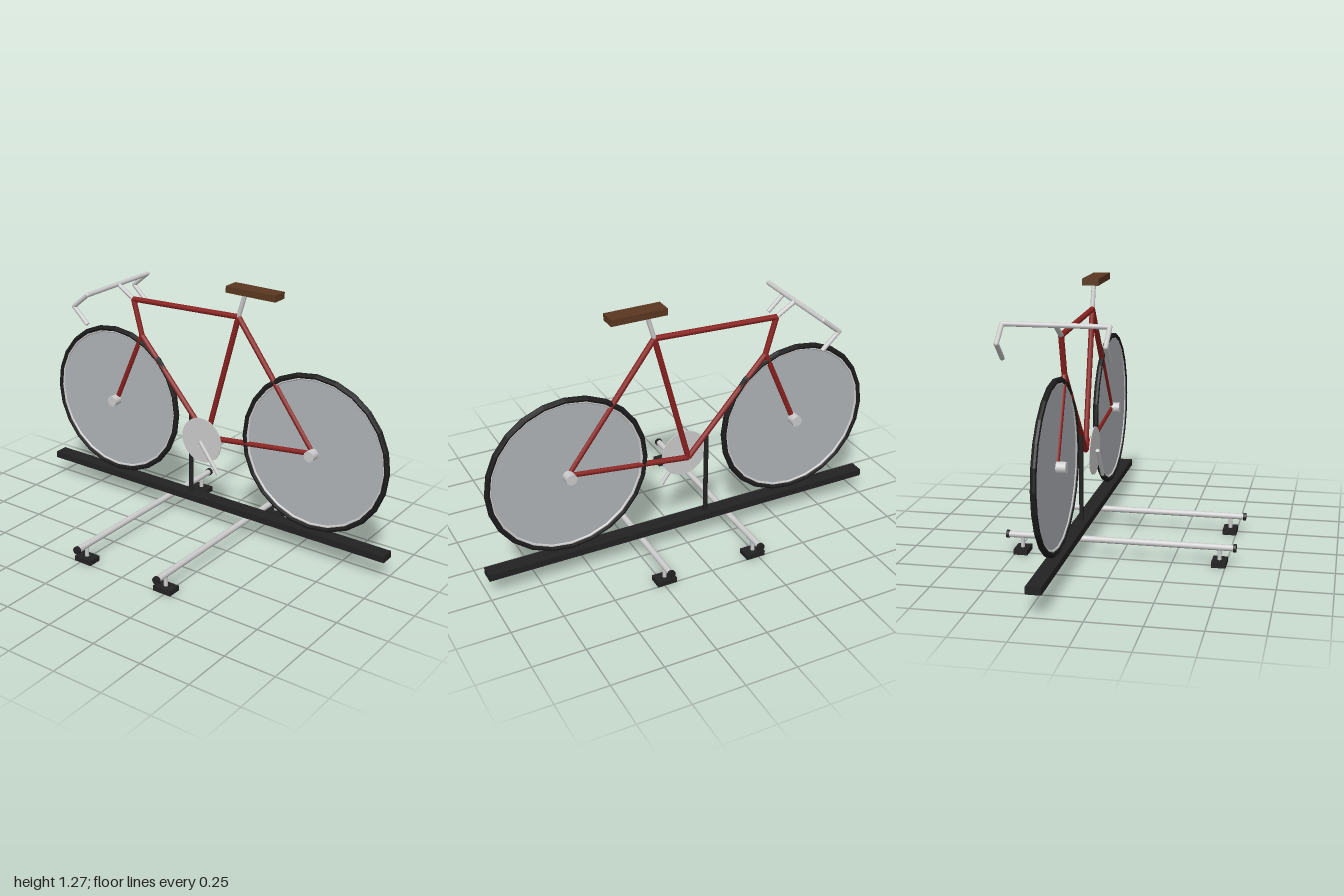
import * as THREE from 'three';

const mat = (color, extra = {}) => new THREE.MeshStandardMaterial({ color, ...extra });
const BIKE_X = 0.21; // the bike and its rail sit off centre on the rack

export function createModel() {
  const model = new THREE.Group();
  model.name = 'bicycleOnRack';
  const metal = mat(0xcccccc), black = mat(0x222222), tyreMat = mat(0x1c1c1c, { flatShading: true });
  const red = mat(0x8b2220), brown = mat(0x5a3820), spokeGrey = mat(0xb0b4b8);
  const v = (x, y, z) => new THREE.Vector3(x, y, z);

  function add(parent, name, geometry, material, x = 0, y = 0, z = 0) {
    const mesh = new THREE.Mesh(geometry, material);
    mesh.name = name;
    mesh.position.set(x, y, z);
    parent.add(mesh);
    return mesh;
  }

  // Round bar between two points
  function bar(parent, name, a, b, radius, material, sides = 12) {
    const dir = b.clone().sub(a);
    const mesh = add(parent, name, new THREE.CylinderGeometry(radius, radius, dir.length(), sides), material);
    mesh.position.copy(a).add(b).multiplyScalar(0.5);
    mesh.quaternion.setFromUnitVectors(v(0, 1, 0), dir.normalize());
    return mesh;
  }

  // Disc or drum whose axis runs along x
  function drum(parent, name, radius, width, sides, material, x, y, z) {
    const geometry = new THREE.CylinderGeometry(radius, radius, width, sides).rotateZ(Math.PI / 2);
    return add(parent, name, geometry, material, x, y, z);
  }

  // Rack: two cross bars with end caps and feet
  const rack = new THREE.Group();
  rack.name = 'rack';
  model.add(rack);
  for (const z of [-0.235, 0.235]) {
    bar(rack, 'crossBar', v(-0.54, 0.085, z), v(0.54, 0.085, z), 0.015, metal, 16);
    for (const s of [-1, 1]) {
      drum(rack, 'endCap', 0.019, 0.014, 16, black, s * 0.54, 0.085, z);
      bar(rack, 'footPost', v(s * 0.47, 0.02, z), v(s * 0.47, 0.08, z), 0.01, metal);
      add(rack, 'footPad', new THREE.BoxGeometry(0.068, 0.025, 0.096), black, s * 0.47, 0.0125, z);
    }
  }

  // Wheel rail and the post that holds the frame
  add(rack, 'wheelRail', new THREE.BoxGeometry(0.07, 0.034, 2), black, BIKE_X, 0.118, 0);
  bar(rack, 'holdingPost', v(BIKE_X, 0.12, -0.115), v(BIKE_X, 0.555, -0.115), 0.011, black);

  // Bike, built around its own centre plane
  const bike = new THREE.Group();
  bike.name = 'bicycle';
  bike.position.x = BIKE_X;
  model.add(bike);

  // Wheels
  for (const z of [0.588, -0.588]) {
    const wheel = new THREE.Group();
    wheel.name = z > 0 ? 'rearWheel' : 'frontWheel';
    wheel.position.set(0, 0.53, z);
    bike.add(wheel);
    add(wheel, 'tyre', new THREE.TorusGeometry(0.381, 0.014, 8, 24).rotateY(Math.PI / 2), tyreMat);
    add(wheel, 'rim', new THREE.TorusGeometry(0.367, 0.008, 8, 24).rotateY(Math.PI / 2), metal);
    drum(wheel, 'spokeDisc', 0.368, 0.004, 24, spokeGrey, 0, 0, 0);
    drum(wheel, 'hub', 0.027, 0.094, 12, metal, 0, 0, 0);
  }

  // Frame
  const rearHub = v(0, 0.53, 0.588), frontHub = v(0, 0.53, -0.588);
  const seatTop = v(0, 1.115, 0.155), crankCentre = v(0, 0.458, -0.02);
  const headTop = v(0, 1.09, -0.47), headBottom = v(0, 0.91, -0.42);
  const frame = [
    ['seatStay', rearHub, seatTop], ['chainStay', rearHub, crankCentre],
    ['seatTube', crankCentre, seatTop], ['topTube', seatTop, headTop],
    ['downTube', crankCentre, headBottom], ['headTube', headTop, headBottom],
    ['fork', headBottom, frontHub],
  ];
  for (const [name, a, b] of frame) bar(bike, name, a, b, 0.0135, red);

  // Saddle
  bar(bike, 'seatPost', seatTop, v(0, 1.222, 0.187), 0.011, metal);
  add(bike, 'saddle', new THREE.BoxGeometry(0.08, 0.032, 0.27), brown, 0, 1.25, 0.243);

  // Handlebar with a drop at each end
  const gripY = 1.15, gripZ = -0.567, half = 0.236;
  bar(bike, 'stem', headTop, v(0, gripY, gripZ), 0.011, metal);
  bar(bike, 'handlebar', v(-half, gripY, gripZ), v(half, gripY, gripZ), 0.0115, metal);
  for (const x of [-half, half]) {
    bar(bike, 'upperDrop', v(x, gripY, gripZ), v(x, 1.078, -0.655), 0.011, metal);
    bar(bike, 'lowerDrop', v(x, 1.078, -0.655), v(x, 1.0, -0.572), 0.011, metal);
    for (const [y, z] of [[gripY, gripZ], [1.078, -0.655]])
      add(bike, 'bend', new THREE.SphereGeometry(0.0115, 12, 8), metal, x, y, z);
  }

  // Chainring and crank arm
  drum(bike, 'chainring', 0.116, 0.005, 32, metal, -0.045, 0.458, -0.02);
  bar(bike, 'crankArm', v(-0.06, 0.458, -0.02), v(-0.06, 0.306, 0.092), 0.01, metal);

  return model;
}
